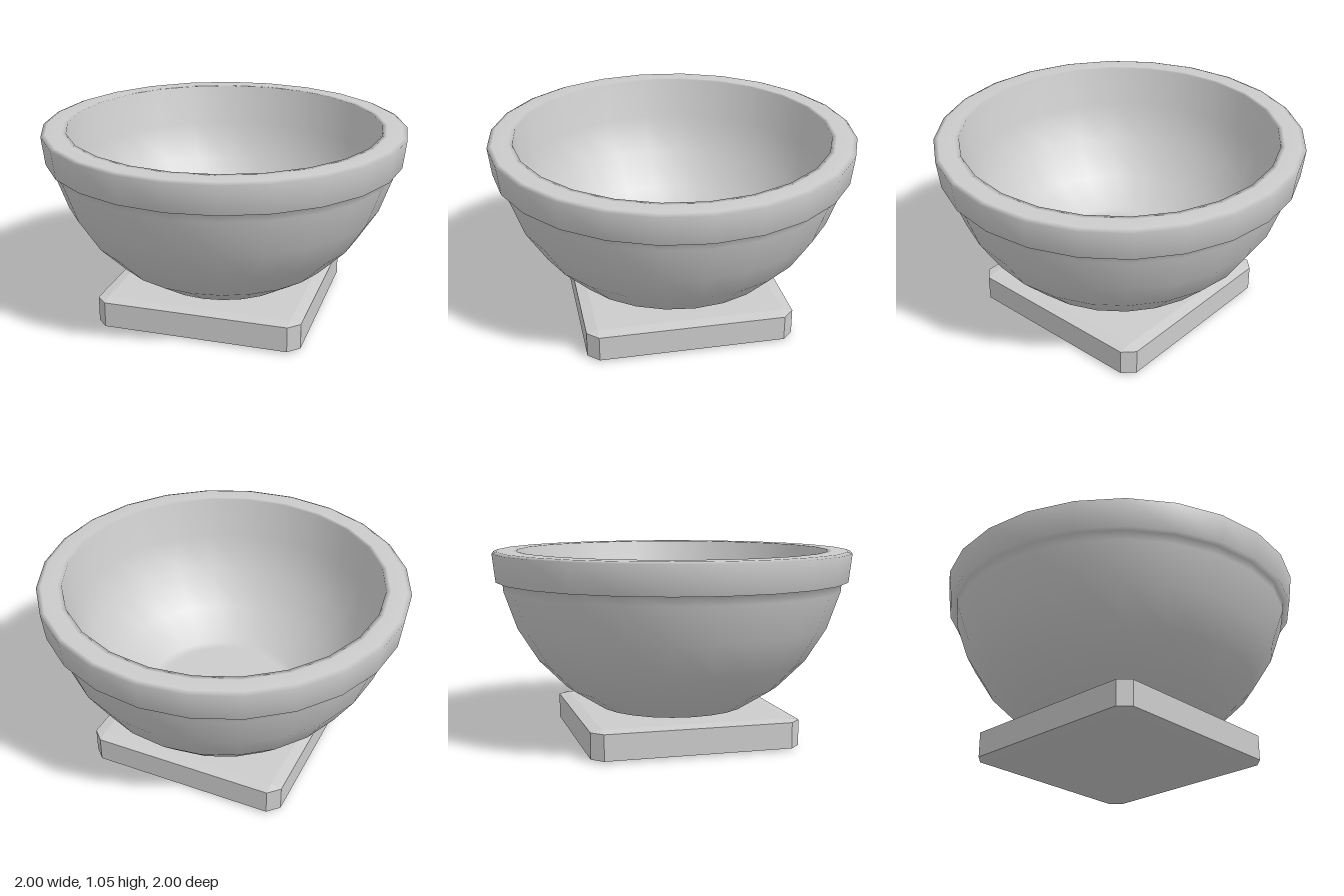
import * as THREE from 'three';
import { ConvexGeometry } from 'three/addons/geometries/ConvexGeometry.js';

const TOP = 1.05; // rim height, also the centre of both bowl curves

// Box whose edges are cut by a chamfer: wide on the plan, shallow in height
function chamferedBox(half, height, cut, cutY) {
  const points = [];
  for (const sx of [-1, 1]) for (const sy of [-1, 1]) for (const sz of [-1, 1]) {
    const add = (x, y, z) => points.push(new THREE.Vector3(sx * x, sy * y, sz * z));
    const h = height / 2;
    add(half, h - cutY, half - cut);
    add(half - cut, h - cutY, half);
    add(half - cut, h, half - cut);
  }
  return new ConvexGeometry(points);
}

// Profile points on a hemisphere, from step `first` to step `last` of a quarter turn
function arc(radius, steps, first, last) {
  const points = [];
  const dir = Math.sign(last - first);
  for (let i = first; i !== last + dir; i += dir) {
    const a = (i / steps) * Math.PI / 2;
    points.push([radius * Math.sin(a), TOP - radius * Math.cos(a)]);
  }
  return points;
}

export function createModel() {
  const group = new THREE.Group();
  const material = new THREE.MeshStandardMaterial({ color: 0xcccccc });

  // Square foot plate, a hair below the bowl
  const base = new THREE.Mesh(chamferedBox(0.57, 0.165, 0.06, 0.012), material);
  base.name = 'base';
  base.position.y = 0.0825;
  group.add(base);

  // Bowl: underside, outer curve, overhanging rim, inner curve, flat inner floor
  const profile = [
    [0, 0.18], [0.4, 0.18],
    ...arc(0.966, 7, 2, 6),
    [0.946, 0.885], [0.982, 0.885],
    [1, 1.04], [0.975, TOP], [0.89, TOP],
    ...arc(0.865, 6, 6, 2),
    [0.37, 0.298], [0, 0.298],
  ].map(([r, y]) => new THREE.Vector2(r, y));
  const bowl = new THREE.Mesh(new THREE.LatheGeometry(profile, 24), material);
  bowl.name = 'bowl';
  group.add(bowl);

  return group;
}
